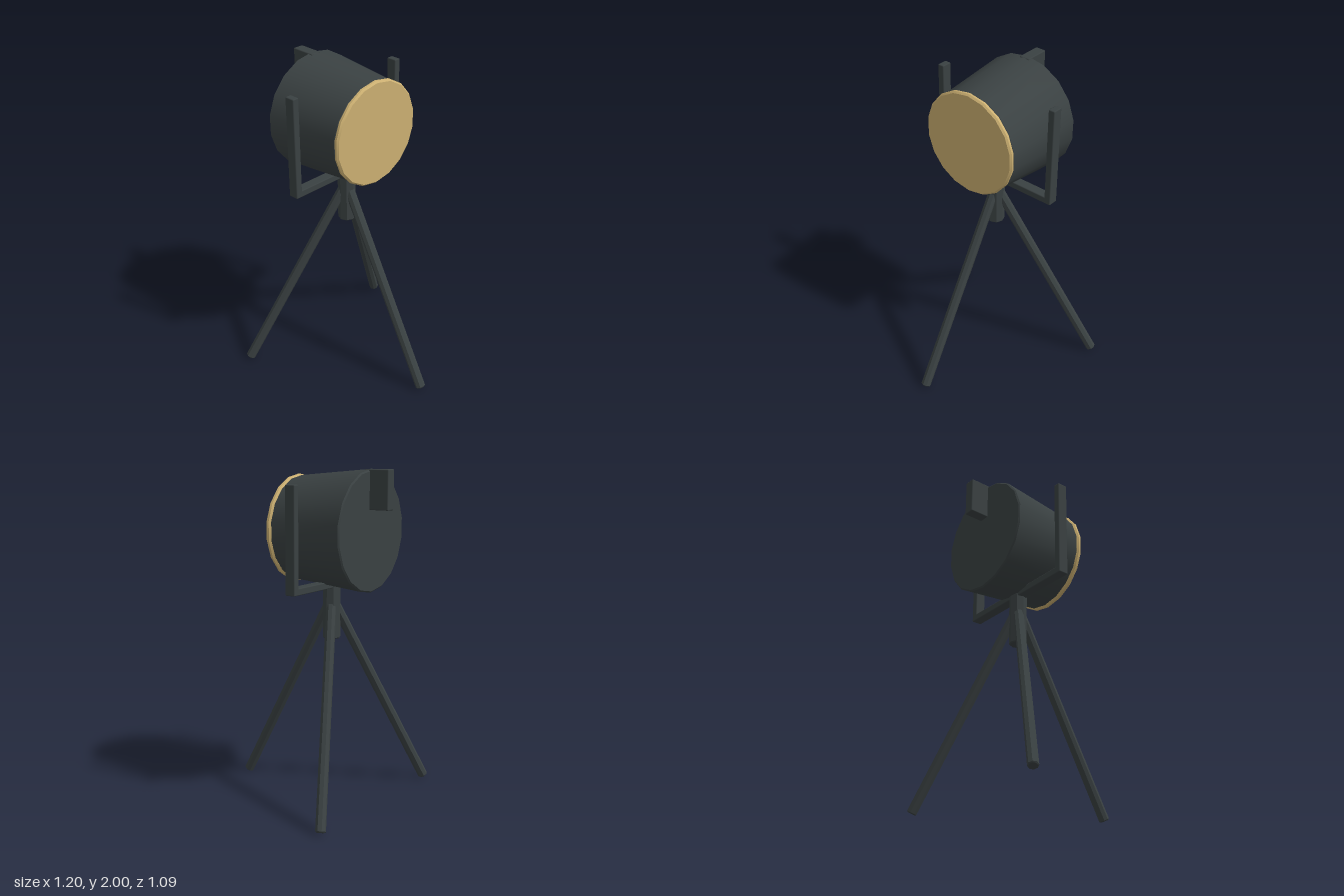
import * as THREE from 'three';
import { toCreasedNormals } from 'three/addons/utils/BufferGeometryUtils.js';
import { RoundedBoxGeometry } from 'three/addons/geometries/RoundedBoxGeometry.js';

const CX = -0.01;   // shared centre line of lamp and stand
const CZ = -0.145;  // stand axis
const LAMP_Y = 1.645;

export function createModel() {
  const model = new THREE.Group();
  model.name = 'spotlightOnTripod';

  const darkMetal = new THREE.MeshStandardMaterial({ color: 0x3a4142 });
  darkMetal.name = 'darkMetal';
  const warmLens = new THREE.MeshStandardMaterial({ color: 0xcbaf71 });
  warmLens.name = 'warmLens';

  const add = (name, geometry, material, x = 0, y = 0, z = 0) => {
    const mesh = new THREE.Mesh(geometry, material);
    mesh.name = name;
    mesh.position.set(x, y, z);
    model.add(mesh);
    return mesh;
  };

  // Closed, bevelled round bar or drum along y, from y0 to y1
  const barrel = (r0, r1, y0, y1, bevel, sides) => {
    const profile = [
      [0, y0], [r0 - bevel, y0], [r0, y0 + bevel],
      [r1, y1 - bevel], [r1 - bevel, y1], [0, y1],
    ].map(([r, y]) => new THREE.Vector2(r, y));
    return toCreasedNormals(new THREE.LatheGeometry(profile, sides), 0.6);
  };

  const box = (name, x0, x1, y0, y1, z0, z1) => add(
    name,
    new RoundedBoxGeometry(x1 - x0, y1 - y0, z1 - z0, 1, 0.006),
    darkMetal, (x0 + x1) / 2, (y0 + y1) / 2, (z0 + z1) / 2,
  );

  // Lamp: tapered drum, lens and rear handle
  add('lampHousing', barrel(0.356, 0.312, -0.422, 0.08, 0.008, 18).rotateX(Math.PI / 2),
    darkMetal, CX, LAMP_Y);
  add('lens', barrel(0.32, 0.32, 0.075, 0.108, 0.01, 18).rotateX(Math.PI / 2),
    warmLens, CX, LAMP_Y);
  box('rearHandle', -0.045, 0.023, 1.77, 2.0, -0.542, -0.385);

  // U-shaped yoke
  box('yokeBar', -0.44, 0.42, 1.3, 1.342, -0.18, -0.115);
  for (const side of [-1, 1]) {
    const x = CX + side * 0.409;
    box(side < 0 ? 'rightYokeArm' : 'leftYokeArm', x - 0.021, x + 0.021, 1.3, 1.92, -0.18, -0.115);
  }

  // Stem
  add('stem', barrel(0.054, 0.054, 0.99, 1.32, 0.006, 8), darkMetal, CX, 0, CZ);

  // Three splayed legs, turned very slightly about the stem
  const up = new THREE.Vector3(0, 1, 0);
  ['frontLeg', 'backLeftLeg', 'backRightLeg'].forEach((name, i) => {
    const angle = -0.024 + i * Math.PI * 2 / 3;
    const point = (r, y) => new THREE.Vector3(CX + r * Math.sin(angle), y, CZ + r * Math.cos(angle));
    const foot = point(0.664, 0.016);
    const top = point(0.02, 1.2);
    const leg = add(name, barrel(0.031, 0.031, 0, foot.distanceTo(top), 0.006, 8), darkMetal);
    leg.position.copy(foot);
    leg.quaternion.setFromUnitVectors(up, top.sub(foot).normalize());
  });

  return model;
}
